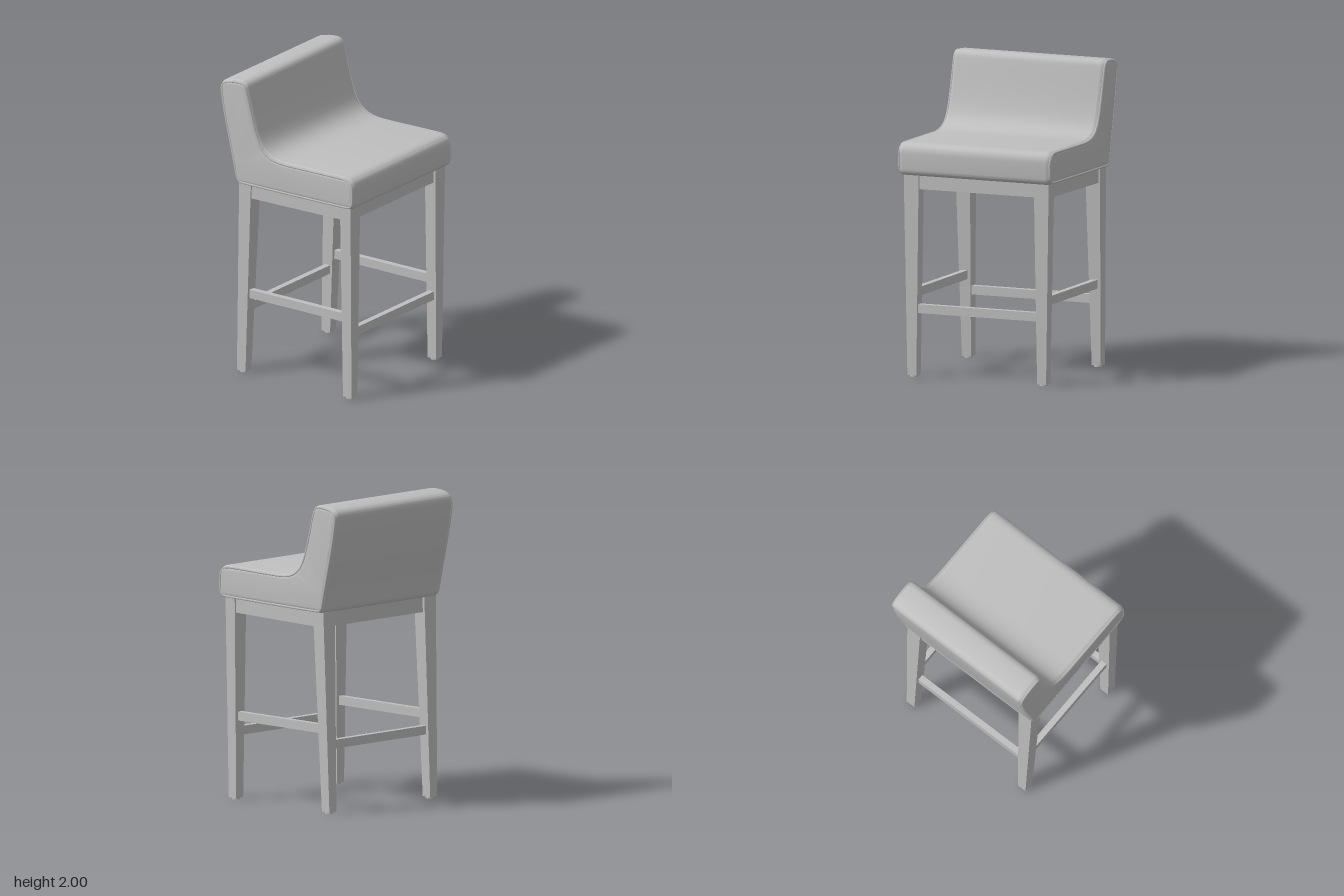
import * as THREE from 'three';
import { toCreasedNormals } from 'three/addons/utils/BufferGeometryUtils.js';

export function createModel() {
  const model = new THREE.Group();
  const grey = new THREE.MeshStandardMaterial({ color: 0xbfbfbf });
  grey.name = 'plain grey';

  const add = (name, geometry, x = 0, y = 0, z = 0) => {
    const mesh = new THREE.Mesh(geometry, grey);
    mesh.name = name;
    mesh.position.set(x, y, z);
    model.add(mesh);
    return mesh;
  };

  // Box spanning two corners
  const bar = (name, x0, x1, y0, y1, z0, z1) =>
    add(name, new THREE.BoxGeometry(x1 - x0, y1 - y0, z1 - z0),
      (x0 + x1) / 2, (y0 + y1) / 2, (z0 + z1) / 2);

  // Four-sided post between a bottom and a top rectangle [x, z, width, depth]
  const post = (name, y0, y1, bottom, top) => {
    const g = new THREE.BoxGeometry(1, 1, 1);
    const p = g.attributes.position;
    for (let i = 0; i < p.count; i++) {
      const up = p.getY(i) > 0;
      const [x, z, w, d] = up ? top : bottom;
      p.setXYZ(i, x + p.getX(i) * w, up ? y1 : y0, z + p.getZ(i) * d);
    }
    g.computeVertexNormals();
    return add(name, g);
  };

  // Upholstered shell: side profile (z, y), inset by d for the seams
  const profile = (d) => {
    const s = new THREE.Shape();
    s.moveTo(0.49 - d, 1.31 + d);
    s.quadraticCurveTo(0.525 - d, 1.31 + d, 0.53 - d, 1.35 + d);
    s.lineTo(0.53 - d, 1.45 - d);
    s.quadraticCurveTo(0.53 - d, 1.522 - d, 0.45 - d, 1.522 - d);
    s.lineTo(0.0, 1.518 - d);
    s.bezierCurveTo(-0.13, 1.518 - d, -0.19 - d, 1.55 - d, -0.23 - d, 1.65);
    s.bezierCurveTo(-0.265 - d, 1.74, -0.29 - d, 1.86, -0.315 - d, 1.955 - d);
    s.quadraticCurveTo(-0.325 - d, 1.998 - d, -0.37, 2.0 - d);
    s.quadraticCurveTo(-0.43, 2.0 - d, -0.48 + d, 1.988 - d);
    s.quadraticCurveTo(-0.535 + d, 1.975 - d, -0.528 + d, 1.92 - d);
    s.bezierCurveTo(-0.51 + d, 1.75, -0.44 + d, 1.5, -0.41 + d, 1.34 + d);
    s.quadraticCurveTo(-0.403 + d, 1.302 + d, -0.375 + d, 1.302 + d);
    s.closePath();
    return s;
  };
  const bevel = 0.032, halfWidth = 0.535;
  let shell = new THREE.ExtrudeGeometry(profile(0), {
    depth: 2 * (halfWidth - bevel), curveSegments: 12, bevelEnabled: true,
    bevelThickness: bevel, bevelSize: bevel, bevelOffset: -bevel, bevelSegments: 6,
  });
  shell.translate(0, 0, -(halfWidth - bevel));
  shell.rotateY(-Math.PI / 2);
  shell = toCreasedNormals(shell, 0.7);
  add('upholsteredSeat', shell);

  // Piping along both side seams
  for (const s of [-1, 1]) {
    const points = profile(0.012).getPoints(6).map((p) => new THREE.Vector3(s * 0.528, p.y, p.x));
    if (points[0].distanceTo(points[points.length - 1]) < 1e-6) points.pop();
    const path = new THREE.CatmullRomCurve3(points, true);
    add('sidePiping', new THREE.TubeGeometry(path, 160, 0.008, 6, true));
  }

  // Tapered legs with foot glides; the back legs rake rearward
  for (const s of [-1, 1]) {
    post('frontLeg', 0.012, 1.32, [s * 0.456, 0.45, 0.063, 0.068], [s * 0.457, 0.45, 0.105, 0.084]);
    post('backLeg', 0.012, 1.32, [s * 0.456, -0.393, 0.063, 0.068], [s * 0.457, -0.346, 0.105, 0.094]);
    for (const z of [0.45, -0.393])
      add('footGlide', new THREE.CylinderGeometry(0.027, 0.027, 0.014, 16), s * 0.456, 0.007, z);
  }

  // Apron rails and the panel beneath the seat
  bar('frontApron', -0.42, 0.42, 1.22, 1.32, 0.42, 0.478);
  bar('backApron', -0.42, 0.42, 1.207, 1.32, -0.378, -0.322);
  for (const s of [-1, 1]) {
    const rail = bar('sideApron', s * 0.47 - 0.028, s * 0.47 + 0.028, 1.212, 1.325, -0.315, 0.425);
    rail.rotation.x = -0.014;
  }
  bar('seatBase', -0.45, 0.45, 1.29, 1.32, -0.33, 0.43);

  // Footrest stretchers
  bar('frontStretcher', -0.43, 0.43, 0.415, 0.472, 0.43, 0.47);
  bar('backStretcher', -0.43, 0.43, 0.415, 0.472, -0.395, -0.355);
  for (const s of [-1, 1])
    bar('sideStretcher', s * 0.457 - 0.02, s * 0.457 + 0.02, 0.516, 0.573, -0.345, 0.425);

  return model;
}
